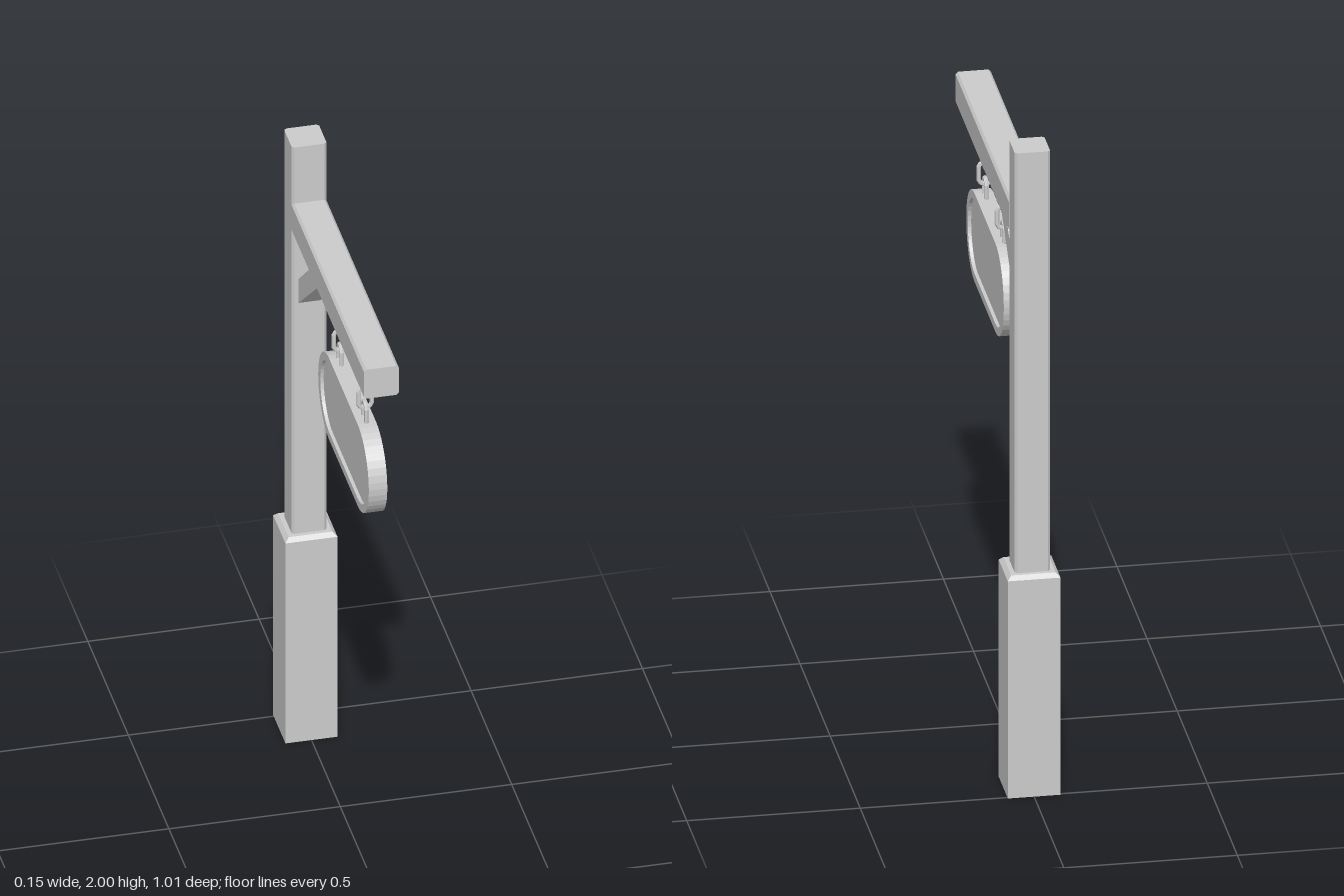
import * as THREE from 'three';

const material = new THREE.MeshStandardMaterial({ color: 0xcccccc, flatShading: true });

function add(group, name, geometry, x = 0, y = 0, z = 0) {
  const mesh = new THREE.Mesh(geometry, material);
  mesh.name = name;
  mesh.position.set(x, y, z);
  group.add(mesh);
  return mesh;
}

// Square timber with chamfered long edges, running along +z from the origin
function timber(width, height, length, c) {
  const w = width / 2, h = height / 2;
  const shape = new THREE.Shape([
    [w, c - h], [w, h - c], [w - c, h], [c - w, h],
    [-w, h - c], [-w, c - h], [c - w, -h], [w - c, -h],
  ].map(([x, y]) => new THREE.Vector2(x, y)));
  return new THREE.ExtrudeGeometry(shape, { depth: length, bevelEnabled: false });
}

// Outline drawn in (z, y), given a thickness centred on x = 0
function sidePlate(shape, thickness) {
  return new THREE.ExtrudeGeometry(shape, { depth: thickness, bevelEnabled: false, curveSegments: 10 })
    .translate(0, 0, -thickness / 2).rotateY(-Math.PI / 2);
}

// Outline with fully round ends
function capsule(target, half, r) {
  target.absarc(half, 0, r, -Math.PI / 2, Math.PI / 2, false);
  target.absarc(-half, 0, r, Math.PI / 2, Math.PI * 1.5, false);
  target.closePath();
  return target;
}

// Oval chain link: a ring whose halves are pulled apart
function linkGeometry() {
  const geometry = new THREE.TorusGeometry(0.02, 0.007, 6, 12).rotateZ(Math.PI / 12);
  const p = geometry.attributes.position;
  for (let i = 0; i < p.count; i++) p.setY(i, p.getY(i) + Math.sign(p.getY(i)) * 0.015);
  geometry.computeVertexNormals();
  return geometry;
}

export function createModel() {
  const model = new THREE.Group();
  model.name = 'hangingSignpost';
  const postZ = -0.431;

  // Square foot with a bevelled top
  const s = Math.SQRT2;
  const profile = [[0, 0], [0.076 * s, 0], [0.076 * s, 0.678], [0.064 * s, 0.69], [0, 0.69]]
    .map(([r, y]) => new THREE.Vector2(r, y));
  add(model, 'base', new THREE.LatheGeometry(profile, 4, Math.PI / 4), 0, 0, postZ);

  // Upright and arm
  add(model, 'post', timber(0.102, 0.102, 1.32, 0.007).rotateX(-Math.PI / 2), 0, 0.68, postZ);
  add(model, 'arm', timber(0.102, 0.098, 0.89, 0.007), 0, 1.761, -0.383);

  // Diagonal brace under the arm
  const brace = new THREE.Shape([[-0.385, 1.467], [-0.095, 1.715], [-0.195, 1.715], [-0.385, 1.548]]
    .map(([z, y]) => new THREE.Vector2(z, y)));
  add(model, 'brace', sidePlate(brace, 0.064));

  // Hanging board: raised rim around a recessed panel
  const board = new THREE.Group();
  board.name = 'signBoard';
  board.position.set(0, 1.371, 0.154);
  model.add(board);
  const rim = capsule(new THREE.Shape(), 0.174, 0.138);
  rim.holes.push(capsule(new THREE.Path(), 0.174, 0.113));
  add(board, 'rim', sidePlate(rim, 0.054));
  add(board, 'panel', sidePlate(capsule(new THREE.Shape(), 0.174, 0.114), 0.034));

  // Two chains of alternating links
  const link = linkGeometry();
  for (const z of [0.305, 0]) {
    const chain = new THREE.Group();
    chain.name = 'chain';
    chain.position.set(0, 1.684, z);
    model.add(chain);
    for (let i = 0; i < 4; i++) {
      add(chain, 'chainLink', link, 0, -0.051 * i, 0).rotation.y = i % 2 ? Math.PI / 2 : 0;
    }
  }
  return model;
}
